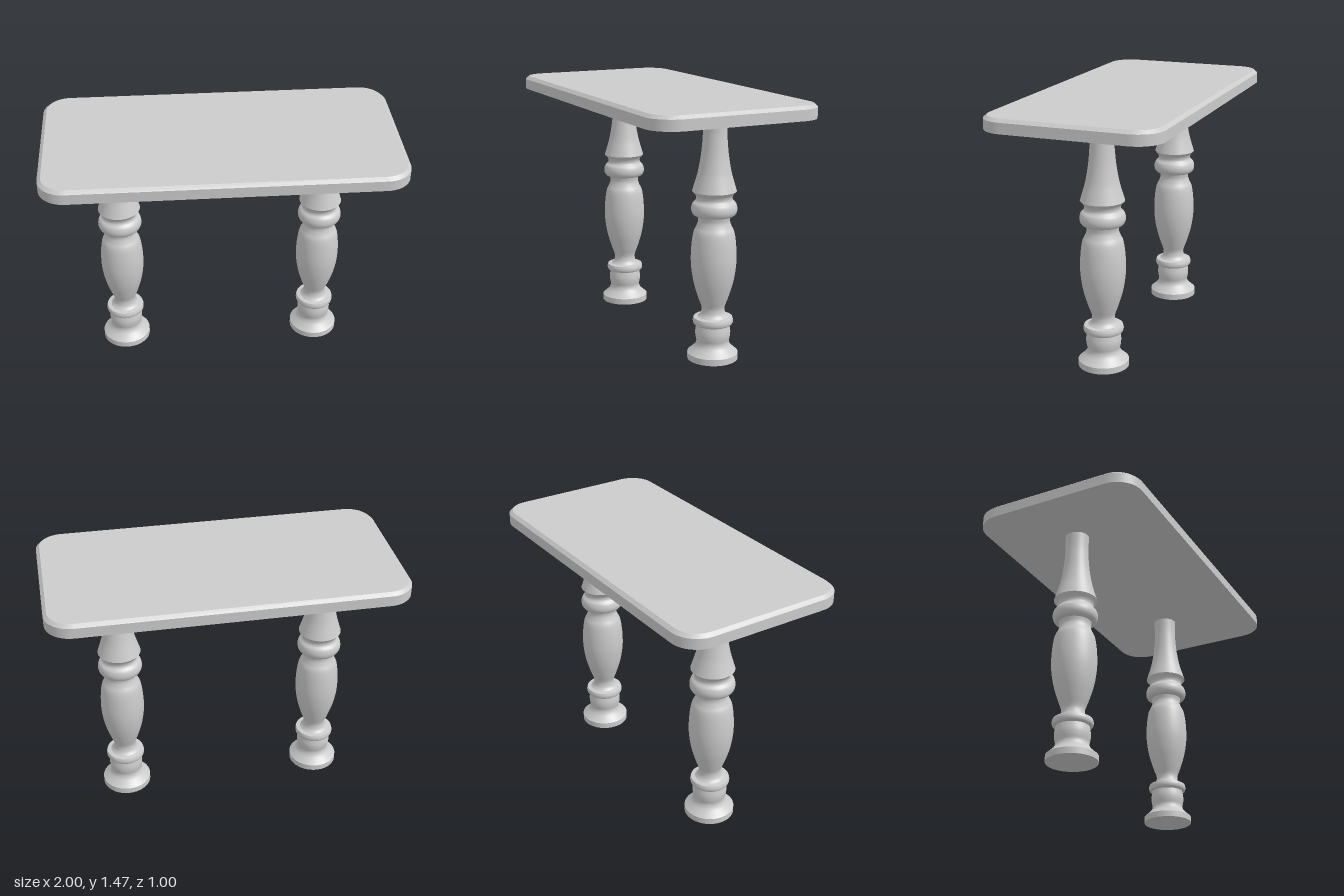
import * as THREE from 'three';
import { mergeGeometries, toCreasedNormals } from 'three/addons/utils/BufferGeometryUtils.js';

const material = new THREE.MeshStandardMaterial({ color: 0xcccccc });

// Turned-leg profile, bottom to top: [radius, height]; each run is smooth, with a crisp edge between runs
const LEG_RUNS = [
  [[0, 0], [0.143, 0]],
  [[0.143, 0], [0.143, 0.036]],
  // flared foot and small drum
  [[0.143, 0.036], [0.12, 0.056], [0.1, 0.078], [0.092, 0.102], [0.097, 0.13], [0.099, 0.16], [0.093, 0.2]],
  // lower ring
  [[0.093, 0.2], [0.106, 0.204], [0.112, 0.214], [0.113, 0.228], [0.109, 0.243]],
  [[0.109, 0.243], [0.085, 0.247]],
  // neck and vase
  [[0.085, 0.247], [0.071, 0.263], [0.065, 0.285], [0.067, 0.31], [0.085, 0.36], [0.109, 0.44],
    [0.123, 0.52], [0.127, 0.59], [0.123, 0.67], [0.113, 0.735], [0.097, 0.77], [0.088, 0.8], [0.092, 0.828]],
  // upper ring and collar
  [[0.092, 0.828], [0.112, 0.833], [0.124, 0.85], [0.127, 0.873], [0.12, 0.898], [0.104, 0.915],
    [0.1, 0.93], [0.106, 0.948], [0.123, 0.968]],
  // tapering shaft
  [[0.123, 0.968], [0.107, 1.02], [0.092, 1.075], [0.077, 1.16], [0.069, 1.24], [0.066, 1.31], [0.069, 1.39]],
];

function legGeometry() {
  return mergeGeometries(LEG_RUNS.map((run) => {
    const pts = run.map(([r, y]) => new THREE.Vector2(r, y));
    const profile = pts.length > 2 ? new THREE.SplineCurve(pts).getPoints(pts.length * 4) : pts;
    return new THREE.LatheGeometry(profile, 64);
  }));
}

// Rounded rectangle slab with only its upper edge chamfered, as stacked outlines
function topGeometry(halfX, halfZ, radius, y0, y1, chamfer, chamferHeight) {
  const levels = [[0, y0], [0, y1 - chamferHeight], [chamfer, y1]];
  const steps = 12, n = 4 * (steps + 1);
  const pos = [], index = [];
  for (const [inset, y] of levels) {
    for (let c = 0; c < 4; c++) {
      const sx = c === 0 || c === 3 ? 1 : -1, sz = c < 2 ? 1 : -1;
      for (let i = 0; i <= steps; i++) {
        const a = (c + i / steps) * Math.PI / 2;
        pos.push(sx * (halfX - radius) + Math.cos(a) * (radius - inset), y,
          sz * (halfZ - radius) + Math.sin(a) * (radius - inset));
      }
    }
  }
  const bottom = levels.length * n, top = bottom + 1;
  pos.push(0, y0, 0, 0, y1, 0);
  for (let i = 0; i < n; i++) {
    const j = (i + 1) % n;
    for (let k = 0; k < levels.length - 1; k++) {
      const a = k * n + i, b = k * n + j;
      index.push(a, a + n, b, b, a + n, b + n);
    }
    const last = (levels.length - 1) * n;
    index.push(bottom, i, j, top, last + j, last + i);
  }
  const g = new THREE.BufferGeometry();
  g.setAttribute('position', new THREE.Float32BufferAttribute(pos, 3));
  g.setIndex(index);
  return toCreasedNormals(g, 0.5);
}

export function createModel() {
  const table = new THREE.Group();
  table.name = 'table';

  const top = new THREE.Mesh(topGeometry(1, 0.5, 0.15, 1.387, 1.465, 0.02, 0.018), material);
  top.name = 'tableTop';
  table.add(top);

  // Two turned legs, set slightly behind the middle
  const geometry = legGeometry();
  for (const [name, side] of [['leftLeg', 1], ['rightLeg', -1]]) {
    const leg = new THREE.Mesh(geometry, material);
    leg.name = name;
    leg.position.set(side * 0.593, 0, -0.048);
    table.add(leg);
  }
  return table;
}
